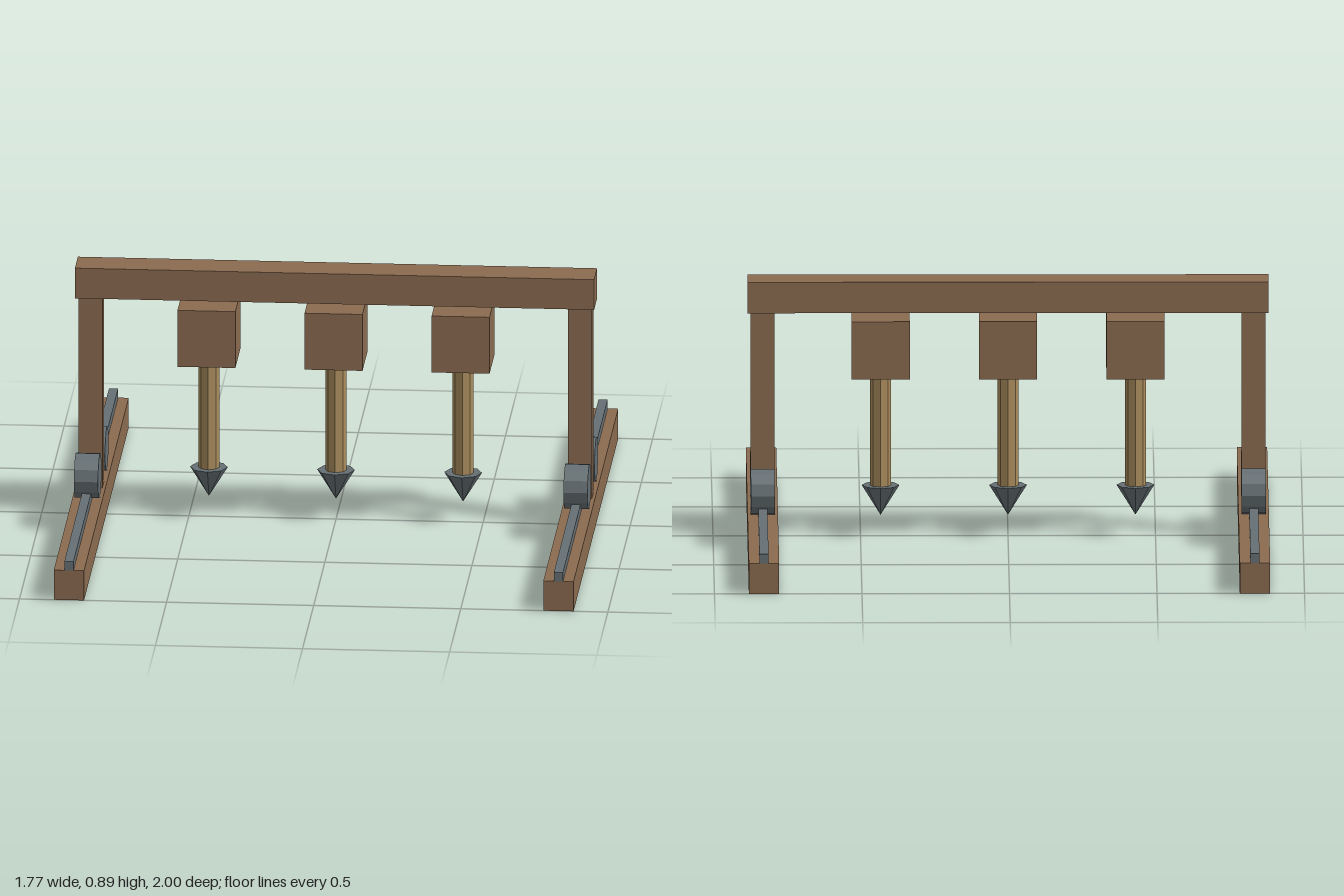
import * as THREE from 'three';

const material = (color) => new THREE.MeshStandardMaterial({ color, flatShading: true });

export function createModel() {
  const model = new THREE.Group();
  const wood = material(0x8b6b50);
  const paleWood = material(0xa98c5c);
  const steel = material(0x667074);

  const add = (name, geometry, mat, x, y, z) => {
    const mesh = new THREE.Mesh(geometry, mat);
    mesh.name = name;
    mesh.position.set(x, y, z);
    model.add(mesh);
    return mesh;
  };
  const box = (w, h, d) => new THREE.BoxGeometry(w, h, d);

  // Overhead beam
  add('crossBeam', box(1.765, 0.107, 0.132), wood, 0, 0.836, 0);

  // Track, post and wheels on each side
  const wheel = new THREE.CylinderGeometry(0.078, 0.078, 0.082, 12).rotateZ(Math.PI / 2);
  for (const [side, s] of [['left', 1], ['right', -1]]) {
    const x = s * 0.832;
    add(`${side}TrackBeam`, box(0.103, 0.105, 2), wood, x, 0.0525, 0);
    add(`${side}TrackRail`, box(0.031, 0.032, 2), steel, x, 0.121, 0);
    add(`${side}Post`, box(0.082, 0.68, 0.082), wood, x, 0.444, 0);
    add(`${side}FrontWheel`, wheel, steel, x, 0.184, 0.158);
    add(`${side}BackWheel`, wheel, steel, x, 0.184, -0.158);
  }

  // Three hanging drill units: block, shaft and pointed tip
  const shaft = new THREE.CylinderGeometry(0.036, 0.036, 0.376, 8);
  const tip = new THREE.ConeGeometry(0.064, 0.103, 8).rotateX(Math.PI);
  for (const [unit, x] of [['left', 0.432], ['middle', 0], ['right', -0.432]]) {
    add(`${unit}DrillBlock`, box(0.197, 0.2, 0.224), wood, x, 0.662, 0);
    add(`${unit}DrillShaft`, shaft, paleWood, x, 0.363, 0);
    add(`${unit}DrillTip`, tip, steel, x, 0.124, 0);
  }

  return model;
}
